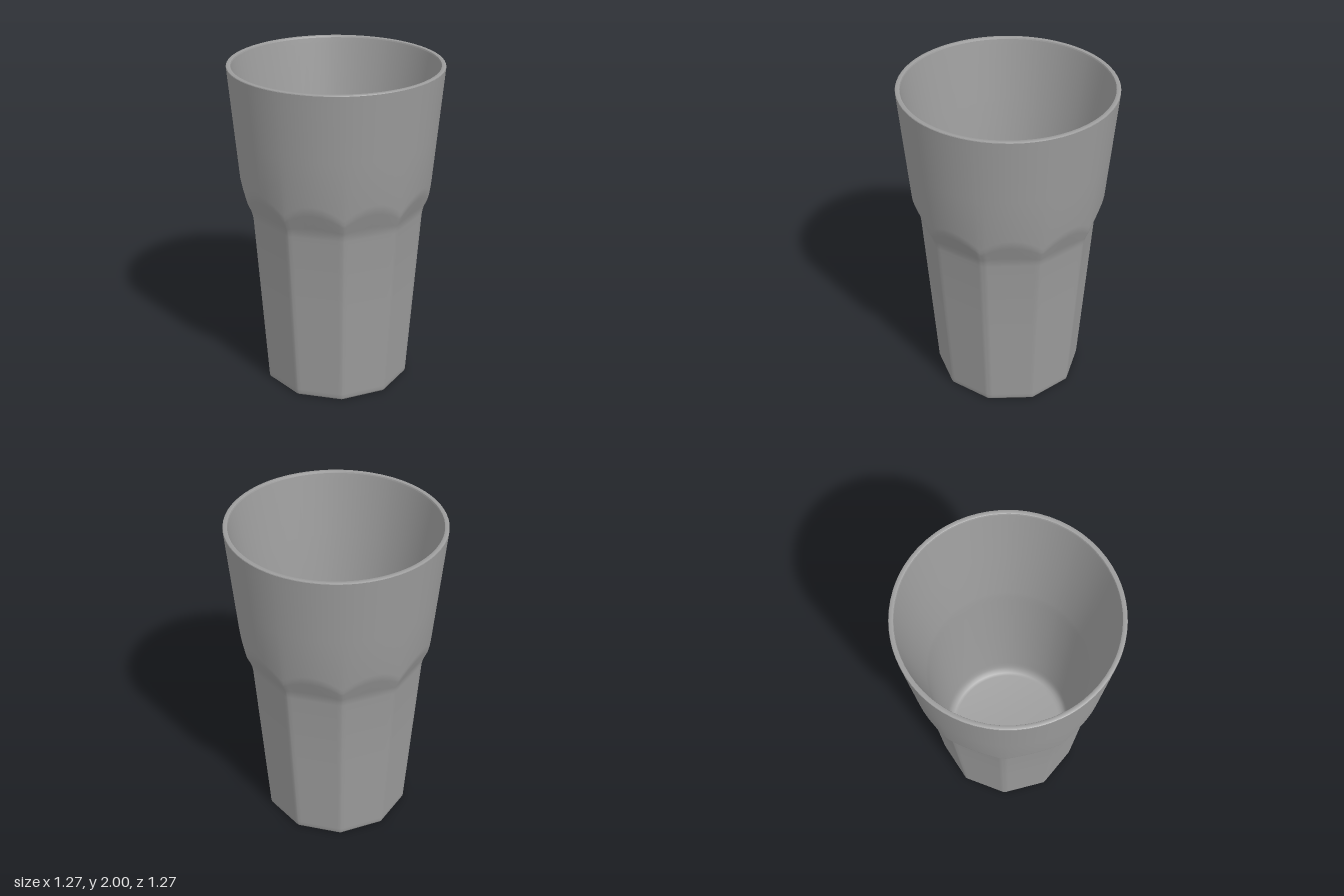
import * as THREE from 'three';
import { toCreasedNormals } from 'three/addons/utils/BufferGeometryUtils.js';

const FACETS = 10;
const COLUMNS = [-17.4, -15, -11, -5.5, 0, 5.5, 11, 15, 17.4]; // degrees from facet centre
const rad = THREE.MathUtils.degToRad;
const material = new THREE.MeshStandardMaterial({ color: 0x9c9c9c });

// Distance from the axis to a ten-sided outline with slightly blunted corners
const facetStretch = (deg) => Math.min(1 / Math.cos(rad(deg)), 1.048);
// Half-width of the straight facet, and radius of the round upper body
const apothem = (y) => 0.43 + 0.066 * y;
const upperRadius = (y) => 0.57 + 0.087 * (y - 1.25);

// Sweeps a profile [radius, y] around the axis; the profile may vary within each facet
function sweep(name, profileAt) {
  const positions = [], index = [];
  const total = FACETS * COLUMNS.length;
  let rows = 0;
  for (let f = 0; f < FACETS; f++) {
    for (const deg of COLUMNS) {
      const angle = rad(f * 360 / FACETS + deg);
      const profile = profileAt(deg);
      rows = profile.length;
      for (const [r, y] of profile) positions.push(r * Math.sin(angle), y, r * Math.cos(angle));
    }
  }
  for (let i = 0; i < total; i++) {
    for (let j = 0; j < rows - 1; j++) {
      const a = i * rows + j, b = ((i + 1) % total) * rows + j;
      index.push(a, b, b + 1, a, b + 1, a + 1);
    }
  }
  const geometry = new THREE.BufferGeometry();
  geometry.setAttribute('position', new THREE.Float32BufferAttribute(positions, 3));
  geometry.setIndex(index);
  const mesh = new THREE.Mesh(toCreasedNormals(geometry, rad(40)), material);
  mesh.name = name;
  return mesh;
}

export function createModel() {
  const group = new THREE.Group();
  group.name = 'tumbler';

  // Underside: shallow round recess, then a flat faceted foot
  group.add(sweep('base', (deg) => [
    [0, 0.05], [0.29, 0.05], [0.305, 0.046], [0.318, 0.034], [0.325, 0.018], [0.333, 0],
    [(apothem(0) - 0.01) * facetStretch(deg), 0],
  ]));

  // Faceted lower body, sloping shoulder with scalloped edge, round upper body
  group.add(sweep('outerWall', (deg) => {
    const s = facetStretch(deg);
    const shoulder = 1.13, slope = 0.41;
    const a = apothem(shoulder);
    // Rise at which the sloping shoulder meets the round upper body
    const t = (upperRadius(shoulder) - a * s) / (slope * s - 0.087);
    const top = shoulder + t;
    const between = (k) => [(a + slope * t * k) * s, shoulder + t * k];
    return [
      [(apothem(0) - 0.01) * s, 0],
      [(apothem(0) - 0.003) * s, 0.004],
      [apothem(0.014) * s, 0.014],
      [apothem(0.04) * s, 0.04],
      [apothem(0.6) * s, 0.6],
      [apothem(1.1) * s, 1.1],
      [(a + 0.003) * s, shoulder],
      between(0.25), between(0.8),
      [upperRadius(top) - 0.003, top],
      [upperRadius(top + 0.03), top + 0.03],
      [upperRadius(1.6), 1.6],
      [upperRadius(1.95), 1.95],
      [upperRadius(1.994), 1.994],
    ];
  }));

  // Flat drinking rim with slightly softened edges
  group.add(sweep('rim', () => [
    [upperRadius(1.994), 1.994], [0.633, 1.998], [0.629, 2],
    [0.613, 2], [0.609, 1.998], [0.606, 1.99],
  ]));

  // Smooth round inside, narrowing to a floor with a rounded corner
  group.add(sweep('innerWall', () => [
    [0.606, 1.99], [0.601, 1.96], [0.544, 1.6], [0.486, 1.23], [0.481, 1.18], [0.478, 1.13],
    [0.444, 0.65], [0.414, 0.22], [0.41, 0.18], [0.404, 0.155], [0.393, 0.135],
    [0.375, 0.123], [0.355, 0.12], [0, 0.12],
  ]));

  return group;
}
